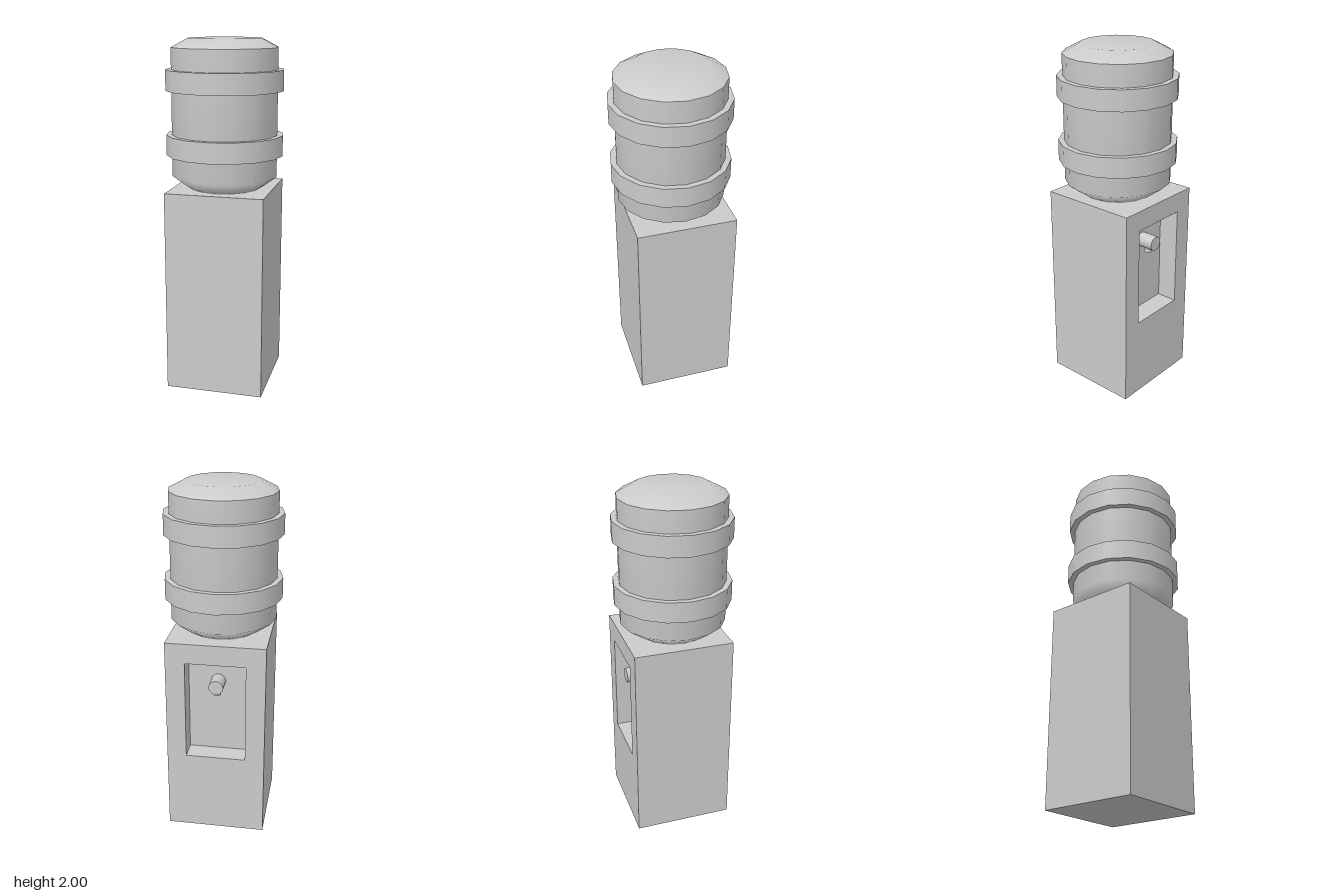
import * as THREE from 'three';

export function createModel() {
  const model = new THREE.Group();
  const material = new THREE.MeshStandardMaterial({ color: 0xcccccc });
  const add = (name, geometry, x = 0, y = 0, z = 0) => {
    const mesh = new THREE.Mesh(geometry, material);
    mesh.name = name;
    mesh.position.set(x, y, z);
    model.add(mesh);
    return mesh;
  };

  const SIDES = 16;
  const W = 0.28, H = 1.165;                  // cabinet half width and height
  const BACK = -0.3, NICHE = -0.18, FRONT = 0.265;

  // Solid cabinet behind the niche; its rear face is the niche's inner wall
  add('cabinet', new THREE.BoxGeometry(2 * W, H, FRONT - NICHE), 0, H / 2, (FRONT + NICHE) / 2);

  // Panel with a rectangular opening for the dispensing niche
  const rect = (path, x, y0, y1) =>
    path.moveTo(-x, y0).lineTo(x, y0).lineTo(x, y1).lineTo(-x, y1).closePath();
  const panel = new THREE.Shape();
  rect(panel, W, 0, H);
  const opening = new THREE.Path();
  rect(opening, 0.17, 0.47, 1.05);
  panel.holes.push(opening);
  add('nichePanel', new THREE.ExtrudeGeometry(panel, { depth: NICHE - BACK, bevelEnabled: false }), 0, 0, BACK);

  // Tap: horizontal barrel with a small downward spout
  const barrel = new THREE.CylinderGeometry(0.042, 0.042, 0.1, 12).rotateX(Math.PI / 2);
  add('tapBarrel', barrel, 0, 0.905, NICHE - 0.05);
  add('tapSpout', new THREE.CylinderGeometry(0.022, 0.022, 0.07, 10), 0, 0.875, -0.225);

  // Water bottle: smooth shoulder and wall, with a creased rim below the dome
  const lathe = (pts) => new THREE.LatheGeometry(pts.map(([r, y]) => new THREE.Vector2(r, y)), SIDES);
  add('bottleBody', lathe([[0, H], [0.205, H], [0.3, 1.235], [0.3, 1.95]]));
  add('bottleTop', lathe([[0.3, 1.95], [0.205, 2], [0, 2]]));

  // Raised bands around the bottle
  for (const [name, y] of [['lowerBand', 1.413], ['upperBand', 1.773]]) {
    add(name, new THREE.CylinderGeometry(0.332, 0.332, 0.115, SIDES), 0, y, 0);
  }

  return model;
}
